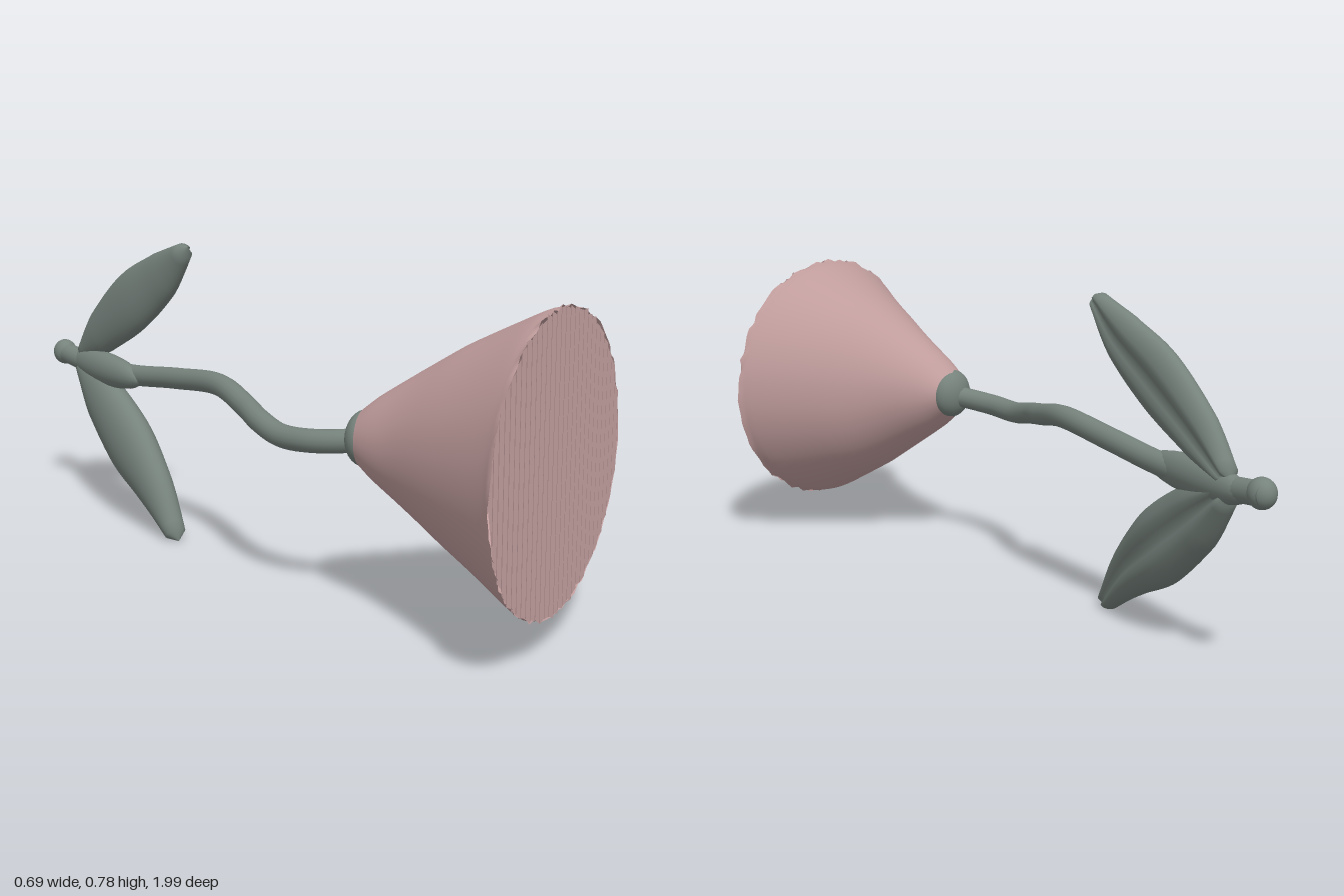
import * as THREE from 'three';

const V = (x, y, z) => new THREE.Vector3(x, y, z);
const pink = new THREE.MeshStandardMaterial({ color: 0xc09c9c, side: THREE.DoubleSide });
pink.name = 'dusty pink petal';
const green = new THREE.MeshStandardMaterial({ color: 0x76827c });
green.name = 'grey green stem';

// Repeatable jitter between -0.5 and 0.5
const jitter = (i) => {
  const s = Math.sin(i * 127.1 + 11.7) * 43758.5453;
  return s - Math.floor(s) - 0.5;
};

// Skin over rings; point(t, angle) runs counter-clockwise around the travel direction
function loft(rows, cols, point) {
  const pos = [], idx = [];
  for (let i = 0; i <= rows; i++) {
    for (let j = 0; j < cols; j++) pos.push(...point(i / rows, (j / cols) * Math.PI * 2, j).toArray());
  }
  for (let i = 0; i < rows; i++) {
    for (let j = 0; j < cols; j++) {
      const k = (j + 1) % cols;
      const a = i * cols + j, b = i * cols + k, c = a + cols, d = b + cols;
      idx.push(a, b, c, b, d, c);
    }
  }
  const g = new THREE.BufferGeometry();
  g.setAttribute('position', new THREE.Float32BufferAttribute(pos, 3));
  g.setIndex(idx);
  g.computeVertexNormals();
  return g;
}

const curve = (pts) => new THREE.CatmullRomCurve3(pts.map((p) => V(...p)));

// Slanted bell: left edge, right edge and half height of each ring
function bellGeometry() {
  const left = curve([[-.25, .42, .40], [-.25, .42, .45], [-.245, .42, .55], [-.255, .42, .68],
    [-.275, .42, .82], [-.30, .42, .94], [-.315, .42, .985]]);
  const right = curve([[-.13, .42, .35], [-.08, .42, .385], [.02, .42, .455], [.14, .42, .52],
    [.24, .42, .58], [.31, .42, .625], [.338, .42, .645]]);
  const height = curve([[.06, 0, 0], [.10, 0, 0], [.165, 0, 0], [.235, 0, 0],
    [.29, 0, 0], [.33, 0, 0], [.338, 0, 0]]);
  return loft(24, 96, (t, a, j) => {
    const l = left.getPoint(t), r = right.getPoint(t), h = height.getPoint(t).x;
    const rag = t === 1 ? 1 + jitter(j) * 0.04 : 1;
    const p = l.clone().add(r).multiplyScalar(0.5);
    p.addScaledVector(r.sub(l), 0.5 * Math.cos(a) * rag);
    p.y += h * Math.sin(a) * rag;
    return p;
  });
}

// Flat mouth of the bell made of narrow vertical ridges
function faceGeometry() {
  const centre = V(.0115, .42, .815), u = V(.3265, 0, -.17), n = V(.462, 0, .887);
  const strips = 56, pos = [];
  const corner = (i, sign) => {
    const s = -1 + (2 * i) / strips;
    const h = .336 * Math.sqrt(Math.max(0, 1 - s * s)) + jitter(i + sign * 90) * .012;
    const p = centre.clone().addScaledVector(u, s).addScaledVector(n, i % 2 ? .002 : -.002);
    p.y += sign * Math.max(0, h);
    return p.toArray();
  };
  for (let i = 0; i < strips; i++) {
    const a = corner(i, -1), b = corner(i + 1, -1), c = corner(i + 1, 1), d = corner(i, 1);
    pos.push(...a, ...b, ...c, ...a, ...c, ...d);
  }
  const g = new THREE.BufferGeometry();
  g.setAttribute('position', new THREE.Float32BufferAttribute(pos, 3));
  g.computeVertexNormals();
  return g;
}

// Thick leaf with a grooved side: centre line, then [half width, half thickness] per station
function leafGeometry(points, sizes) {
  const path = curve(points);
  const size = curve(sizes.map(([w, t]) => [w, t, 0]));
  return loft(28, 32, (t, a) => {
    const p = path.getPoint(t), s = size.getPoint(t);
    const side = V(1, 0, 0);
    const wide = path.getTangent(t).cross(side).normalize();
    const end = t === 0 || t === 1 ? 0 : 1;
    const c = Math.cos(a), w = Math.sin(a);
    const groove = c > 0 ? 1 - .4 * Math.exp(-((w / .25) ** 2)) : 1;
    return p.addScaledVector(side, c * s.y * groove * end).addScaledVector(wide, w * s.x * end);
  });
}

export function createModel() {
  const model = new THREE.Group();
  model.name = 'flower';
  const add = (name, geometry, material) => {
    const mesh = new THREE.Mesh(geometry, material);
    mesh.name = name;
    model.add(mesh);
    return mesh;
  };
  const blob = (name, at, scale) => {
    const mesh = add(name, new THREE.SphereGeometry(1, 24, 16), green);
    mesh.position.set(...at);
    mesh.scale.set(...scale);
    return mesh;
  };

  // Blossom
  add('bell', bellGeometry(), pink);
  add('bellFace', faceGeometry(), pink);

  // Wavy stem with its cut end, cup under the bell and thick leaf joint
  const stem = curve([[-.18, .42, .40], [-.225, .41, .36], [-.27, .40, .28], [-.288, .395, .18],
    [-.285, .41, .08], [-.265, .425, -.02], [-.246, .447, -.18], [-.258, .43, -.38],
    [-.28, .405, -.60], [-.292, .40, -.80], [-.303, .413, -.985]]);
  add('stem', new THREE.TubeGeometry(stem, 80, .028, 16), green);
  blob('stemEnd', [-.303, .413, -.965], [.032, .035, .035]);
  blob('calyx', [-.195, .42, .395], [.062, .066, .045]).rotation.y = .42;
  blob('leafJoint', [-.292, .402, -.73], [.038, .045, .21]);

  // Upper and lower leaves
  add('upperLeaf', leafGeometry(
    [[-.288, .42, -.87], [-.278, .50, -.765], [-.258, .60, -.62], [-.235, .685, -.49], [-.222, .772, -.375]],
    [[.02, .025], [.065, .036], [.085, .04], [.066, .036], [.016, .022]]), green);
  add('lowerLeaf', leafGeometry(
    [[-.29, .40, -.87], [-.293, .315, -.74], [-.29, .22, -.60], [-.287, .12, -.46], [-.284, .002, -.34]],
    [[.02, .03], [.08, .048], [.095, .055], [.065, .045], [.018, .026]]), green);

  return model;
}
